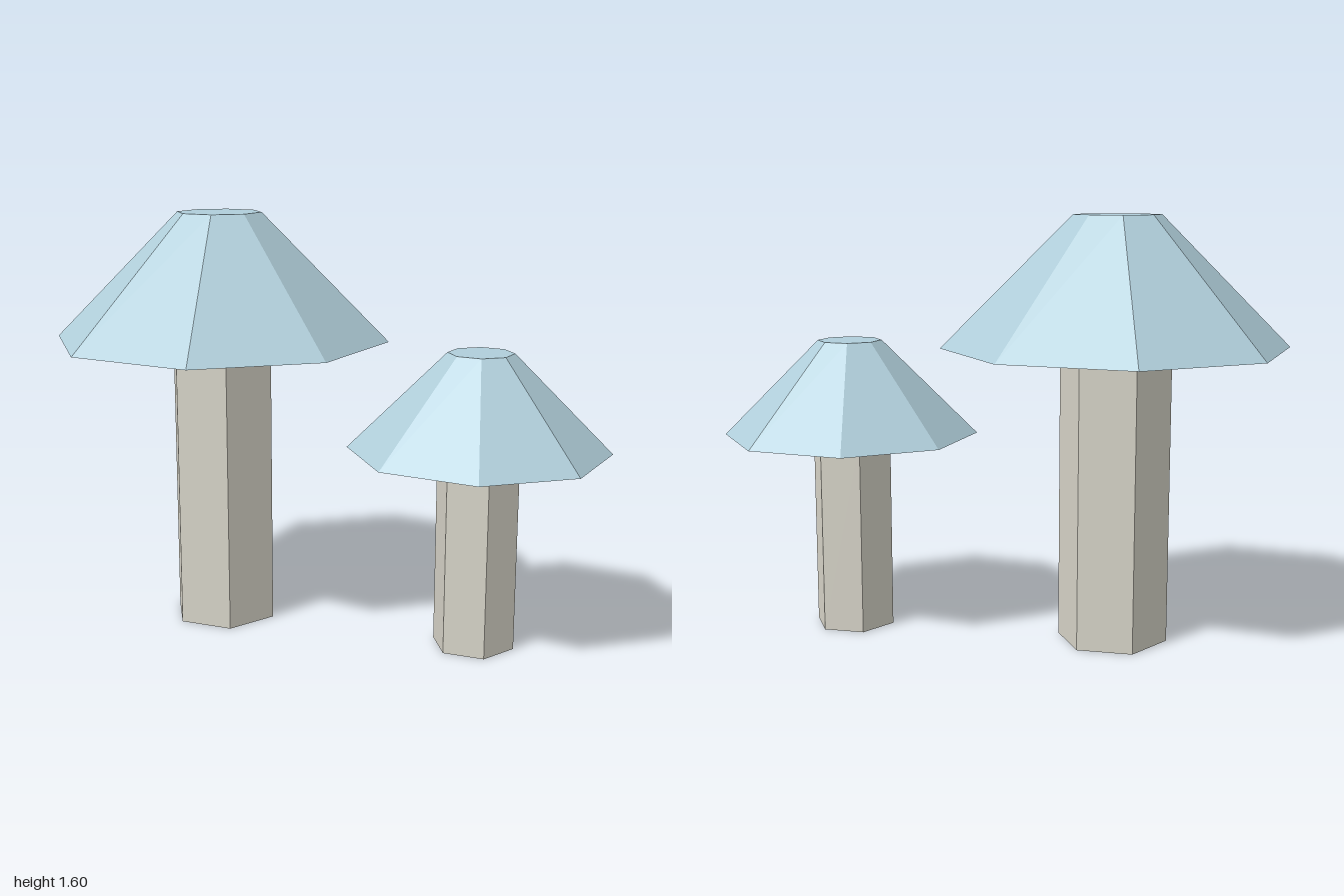
import * as THREE from 'three';

export function createModel() {
  const model = new THREE.Group();
  model.name = 'mushrooms';

  const capBlue = new THREE.MeshStandardMaterial({ color: 0xb0ceda, flatShading: true });
  capBlue.name = 'pale blue';
  const stemStone = new THREE.MeshStandardMaterial({ color: 0xd7d4c8, flatShading: true });
  stemStone.name = 'warm stone';

  // One mushroom: a six-sided stem under an eight-sided truncated cone
  function addMushroom(name, x, z, scale, stemHeight) {
    const mushroom = new THREE.Group();
    mushroom.name = name;
    mushroom.position.set(x, 0, z);

    const stemRadius = 0.208 * scale;
    const stem = new THREE.Mesh(
      new THREE.CylinderGeometry(stemRadius, stemRadius, stemHeight, 6), stemStone);
    stem.name = 'stem';
    stem.position.y = stemHeight / 2;

    const capHeight = 0.485 * scale;
    const cap = new THREE.Mesh(
      new THREE.CylinderGeometry(0.162 * scale, 0.647 * scale, capHeight, 8), capBlue);
    cap.name = 'cap';
    cap.position.y = stemHeight + capHeight / 2;

    mushroom.add(stem, cap);
    model.add(mushroom);
  }

  addMushroom('largeMushroom', -0.353, 0.187, 1, 1.112);
  addMushroom('smallMushroom', 0.515, -0.352, 0.75, 0.755);

  return model;
}
